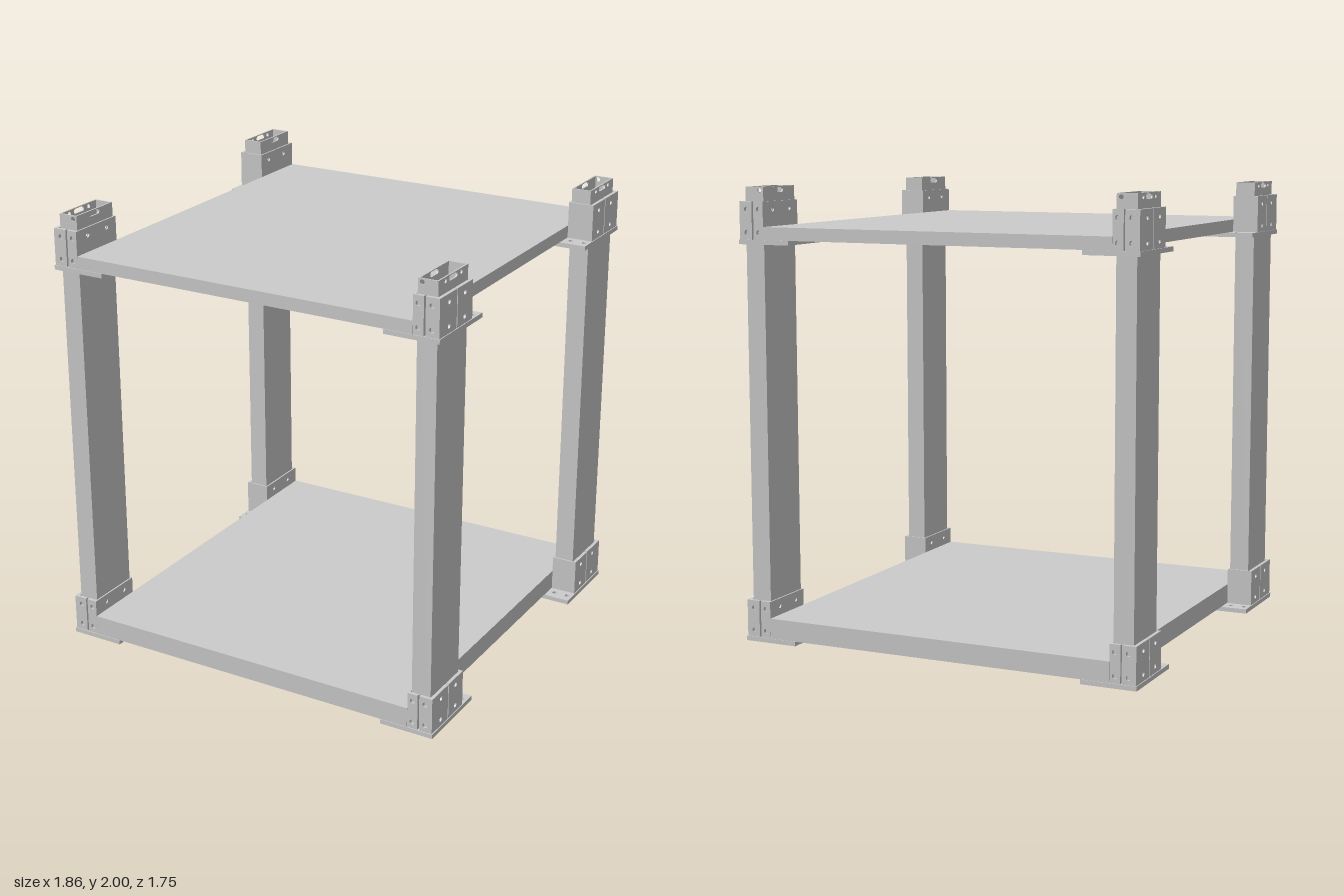
import * as THREE from 'three';

const material = new THREE.MeshStandardMaterial({ color: 0xcccccc });

// Flat plate with holes, thin along one axis. x, y, z are [min, max] ranges.
// A hole is { u, v, r } (round), { u, v, r, len } (slot) or { rect: [u0, u1, v0, v1] },
// where u, v are z, y for axis 'x'; x, z for axis 'y'; x, y for axis 'z'.
function panel(name, axis, x, y, z, holes = []) {
  const [u, v, d] = { x: [z, y, x], y: [x, z, y], z: [x, y, z] }[axis];
  const rectangle = (target, u0, u1, v0, v1) => {
    target.moveTo(u0, v0);
    target.lineTo(u1, v0);
    target.lineTo(u1, v1);
    target.lineTo(u0, v1);
    target.closePath();
    return target;
  };
  const shape = rectangle(new THREE.Shape(), u[0], u[1], v[0], v[1]);
  for (const h of holes) {
    const path = new THREE.Path();
    if (h.rect) {
      rectangle(path, ...h.rect);
    } else {
      const half = (h.len || 0) / 2;
      path.absarc(h.u + half, h.v, h.r, -Math.PI / 2, Math.PI / 2, false);
      path.absarc(h.u - half, h.v, h.r, Math.PI / 2, Math.PI * 1.5, false);
    }
    shape.holes.push(path);
  }
  const geometry = new THREE.ExtrudeGeometry(shape, {
    depth: d[1] - d[0], bevelEnabled: false, curveSegments: 8,
  });
  if (axis === 'x') geometry.rotateY(-Math.PI / 2).translate(d[1], 0, 0);
  if (axis === 'y') geometry.rotateX(Math.PI / 2).translate(0, d[1], 0);
  if (axis === 'z') geometry.translate(0, 0, d[0]);
  const mesh = new THREE.Mesh(geometry, material);
  mesh.name = name;
  return mesh;
}

// Range mirrored to the given side of the model
const side = (s, a, b) => (s > 0 ? [a, b] : [-b, -a]);
const R = 0.011;

// Hollow rectangular post with bolt holes and slots at its top
function post(sx, sz) {
  const group = new THREE.Group();
  group.name = 'post';
  const X = (a, b) => side(sx, a, b);
  const Z = (a, b) => side(sz, a, b);
  const y = [0.02, 2];
  const slot = { u: sz * 0.725, v: 1.985, r: 0.011, len: 0.048 };
  const bolts = (v) => [0.79, 0.656].map((z) => ({ u: sz * z, v, r: 0.01 }));
  group.add(
    panel('postOuterWall', 'x', X(0.898, 0.905), y, Z(0.598, 0.849),
      [slot, ...bolts(1.985), ...bolts(1.905)]),
    panel('postInnerWall', 'x', X(0.816, 0.823), y, Z(0.598, 0.849),
      [slot, ...bolts(1.905)]),
    panel('postEndWall', 'z', X(0.823, 0.898), y, Z(0.842, 0.849),
      [{ u: sx * 0.835, v: 1.985, r: 0.01 }]),
    panel('postRearWall', 'z', X(0.823, 0.898), y, Z(0.598, 0.605)),
  );
  return group;
}

// Corner bracket: base plate with an opening for the post and a split sleeve
function bracket(sx, sz, y0) {
  const group = new THREE.Group();
  group.name = 'cornerBracket';
  const X = (a, b) => side(sx, a, b);
  const Z = (a, b) => side(sz, a, b);
  const wallY = [y0 + 0.02, y0 + 0.184];
  const rows = [y0 + 0.05, y0 + 0.15];
  const bolts = (u) => rows.map((v) => ({ u, v, r: R }));

  group.add(panel('bracketPlate', 'y', X(0.68, 0.928), [y0, y0 + 0.02], Z(0.507, 0.874), [
    { rect: [...X(0.816, 0.905), ...Z(0.598, 0.849)] },
    { u: sx * 0.84, v: sz * 0.553, r: R },
    { u: sx * 0.904, v: sz * 0.553, r: R },
  ]));

  // Outer side, two panels with a narrow slit between
  group.add(
    panel('sleeveOuterPanel', 'x', X(0.909, 0.924), wallY, Z(0.726, 0.87), bolts(sz * 0.79)),
    panel('sleeveOuterPanel', 'x', X(0.909, 0.924), wallY, Z(0.59, 0.72), bolts(sz * 0.656)),
  );
  // End face, also split
  group.add(
    panel('sleeveEndPanel', 'z', X(0.863, 0.909), wallY, Z(0.855, 0.87), bolts(sx * 0.89)),
    panel('sleeveEndPanel', 'z', X(0.807, 0.855), wallY, Z(0.855, 0.87), bolts(sx * 0.83)),
  );
  // Walls towards the shelf and towards the middle of the side
  group.add(
    panel('sleeveInnerWall', 'x', X(0.807, 0.814), wallY, Z(0.59, 0.855),
      [0.79, 0.656].map((z) => ({ u: sz * z, v: rows[1], r: R }))),
    panel('sleeveRearWall', 'z', X(0.814, 0.909), wallY, Z(0.59, 0.597)),
  );
  return group;
}

function shelf(name, y0, y1) {
  const mesh = new THREE.Mesh(new THREE.BoxGeometry(1.612, y1 - y0, 1.742), material);
  mesh.position.y = (y0 + y1) / 2;
  mesh.name = name;
  return mesh;
}

export function createModel() {
  const model = new THREE.Group();
  model.name = 'shelfUnit';
  model.add(shelf('lowerShelf', 0.02, 0.11), shelf('upperShelf', 1.774, 1.83));
  for (const sx of [-1, 1]) {
    for (const sz of [-1, 1]) {
      model.add(post(sx, sz), bracket(sx, sz, 0), bracket(sx, sz, 1.754));
    }
  }
  return model;
}
